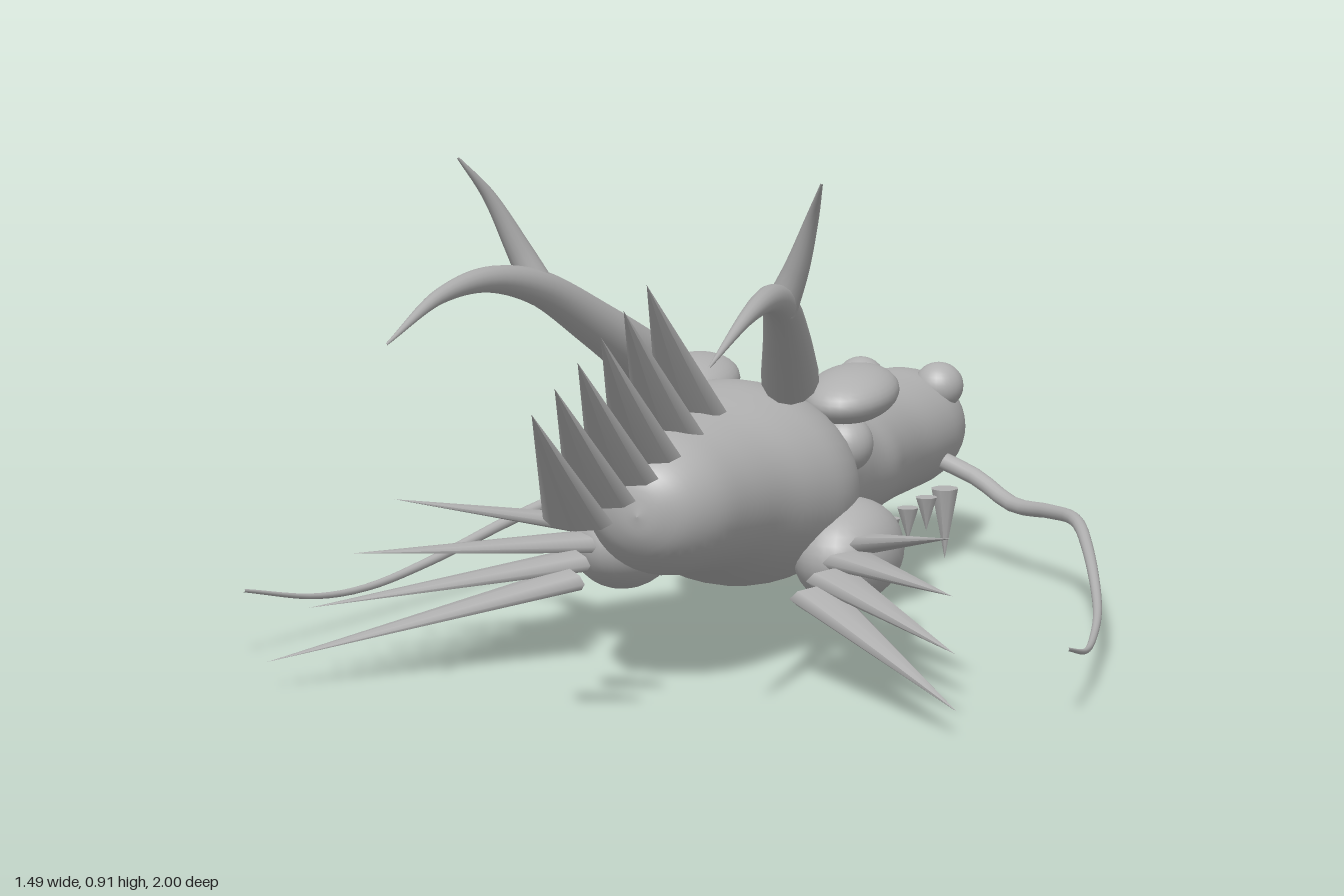
import * as THREE from 'three';

const grey = new THREE.MeshStandardMaterial({ color: 0xb0b0b0 });
grey.name = 'stone grey';
const V = (x, y, z) => new THREE.Vector3(x, y, z);

function add(parent, name, geometry) {
  const mesh = new THREE.Mesh(geometry, grey);
  mesh.name = name;
  parent.add(mesh);
  return mesh;
}

// Smooth head lofted from elliptical sections: [z, half width, top, bottom]
function headGeometry() {
  const rows = [
    [0.46, 0.001, 0.32, 0.318], [0.45, 0.045, 0.375, 0.275], [0.42, 0.09, 0.41, 0.235],
    [0.36, 0.125, 0.438, 0.2], [0.27, 0.145, 0.447, 0.182], [0.17, 0.168, 0.453, 0.163],
    [0.08, 0.2, 0.462, 0.135], [0, 0.22, 0.465, 0.11], [-0.08, 0.21, 0.45, 0.105],
    [-0.17, 0.17, 0.41, 0.11], [-0.27, 0.14, 0.385, 0.12], [-0.38, 0.128, 0.363, 0.122],
    [-0.45, 0.126, 0.34, 0.12], [-0.52, 0.125, 0.33, 0.119], [-0.6, 0.113, 0.325, 0.118],
    [-0.7, 0.107, 0.318, 0.117], [-0.8, 0.113, 0.317, 0.115], [-0.87, 0.114, 0.317, 0.114],
    [-0.93, 0.1, 0.305, 0.125], [-0.975, 0.068, 0.28, 0.15], [-0.994, 0.035, 0.25, 0.18],
    [-1, 0.001, 0.216, 0.214],
  ];
  const shape = new THREE.CatmullRomCurve3(rows.map(r => V(r[1], r[2], r[3])), false, 'catmullrom');
  const depth = new THREE.CatmullRomCurve3(rows.map(r => V(r[0], 0, 0)), false, 'catmullrom');
  const n = 84, m = 40, pos = [], index = [];
  for (let i = 0; i <= n; i++) {
    const s = shape.getPoint(i / n), z = depth.getPoint(i / n).x;
    for (let j = 0; j < m; j++) {
      const a = j / m * Math.PI * 2;
      pos.push(s.x * Math.cos(a), (s.y + s.z) / 2 + (s.y - s.z) / 2 * Math.sin(a), z);
      if (i === n) continue;
      const p = i * m + j, q = i * m + (j + 1) % m;
      index.push(p, p + m, q, q, p + m, q + m);
    }
  }
  const g = new THREE.BufferGeometry();
  g.setAttribute('position', new THREE.Float32BufferAttribute(pos, 3));
  g.setIndex(index);
  g.computeVertexNormals();
  return g;
}

// Tapering tube with a flat cap on its thick end
function horn(parent, name, points, r0, r1) {
  const path = new THREE.CatmullRomCurve3(points);
  const n = 40, m = 14;
  const g = new THREE.TubeGeometry(path, n, 1, m, false);
  const p = g.attributes.position, v = V(0, 0, 0);
  for (let i = 0; i <= n; i++) {
    const c = path.getPointAt(i / n), r = r0 + (r1 - r0) * i / n;
    for (let j = 0; j <= m; j++) {
      const k = i * (m + 1) + j;
      v.fromBufferAttribute(p, k).sub(c).multiplyScalar(r).add(c);
      p.setXYZ(k, v.x, v.y, v.z);
    }
  }
  add(parent, name, g);
  const cap = add(parent, name + 'Base', new THREE.CircleGeometry(r0, m));
  cap.position.copy(points[0]);
  cap.quaternion.setFromUnitVectors(V(0, 0, 1), path.getTangentAt(0).negate());
}

// Flattened spike from base to tip; wide lies along the given direction
function spike(parent, name, base, tip, wide, halfWidth, halfThick) {
  const dir = tip.clone().sub(base), len = dir.length();
  dir.normalize();
  const g = new THREE.ConeGeometry(1, 1, 8).translate(0, 0.5, 0).scale(halfWidth, len, halfThick);
  const x = wide.clone().addScaledVector(dir, -wide.dot(dir)).normalize();
  const z = x.clone().cross(dir);
  g.applyMatrix4(new THREE.Matrix4().makeBasis(x, dir, z).setPosition(base));
  add(parent, name, g);
}

function ball(parent, name, center, radii, tilt = 0) {
  const mesh = add(parent, name, new THREE.SphereGeometry(1, 28, 18));
  mesh.position.copy(center);
  mesh.scale.copy(radii);
  mesh.rotation.x = tilt;
}

export function createModel() {
  const model = new THREE.Group();
  model.name = 'hornedHead';
  add(model, 'head', headGeometry());

  // Row of spikes along the neck
  for (let i = 0; i < 6; i++) {
    const t = i / 5;
    spike(model, 'crestSpike', V(0, 0.45 - 0.08 * t, 0.18 + 0.58 * t),
      V(0, 0.71 - 0.11 * t, 0.41 + 0.587 * t), V(1, 0, 0), 0.063, 0.021);
  }

  for (const s of [1, -1]) {
    const side = new THREE.Group();
    side.name = s > 0 ? 'leftSide' : 'rightSide';
    model.add(side);
    const P = (x, y, z) => V(s * x, y, z);

    // Rounded face features
    ball(side, 'cheek', P(0.2, 0.175, -0.05), V(0.09, 0.09, 0.13));
    ball(side, 'brow', P(0.143, 0.408, -0.228), V(0.077, 0.045, 0.112), 0.08);
    ball(side, 'eye', P(0.145, 0.33, -0.185), V(0.05, 0.05, 0.05));
    ball(side, 'nostril', P(0.07, 0.29, -0.88), V(0.042, 0.04, 0.042));

    // Horn and its upright branch
    horn(side, 'horn', [P(0.12, 0.483, 0.02), P(0.17, 0.585, 0.18), P(0.215, 0.675, 0.34),
      P(0.25, 0.72, 0.5), P(0.275, 0.725, 0.68), P(0.29, 0.685, 0.915)], 0.05, 0.002);
    horn(side, 'hornBranch', [P(0.215, 0.67, 0.34), P(0.25, 0.745, 0.355),
      P(0.29, 0.84, 0.39), P(0.327, 0.915, 0.445)], 0.03, 0.002);

    // Long trailing whisker
    horn(side, 'whisker', [P(0.1, 0.175, -0.815), P(0.17, 0.155, -0.79), P(0.25, 0.125, -0.74),
      P(0.35, 0.135, -0.655), P(0.43, 0.145, -0.555), P(0.5, 0.125, -0.42), P(0.6, 0.075, -0.185),
      P(0.65, 0.06, -0.02), P(0.69, 0.07, 0.13), P(0.74, 0.122, 0.365)], 0.015, 0.003);

    // Fan of cheek spikes
    for (let i = 0; i < 4; i++) {
      const t = i / 3;
      spike(side, 'cheekSpike', P(0.25 - 0.03 * t, 0.2 - 0.06 * t, 0.17 * t),
        P(0.5 + 0.12 * t, 0.28 - 0.23 * t, 0.28 + 0.31 * t), P(1, 0, -0.8), 0.05, 0.018);
    }

    // Small teeth and the front fang
    for (let i = 0; i < 5; i++) {
      const z = -0.355 - 0.094 * i;
      spike(side, 'tooth', P(0.1, 0.128, z), P(0.1, 0.07, z), V(1, 0, 0), 0.019, 0.019);
    }
    spike(side, 'fang', P(0.1, 0.125, -0.825), P(0.1, 0.003, -0.825), V(1, 0, 0), 0.024, 0.024);
  }
  return model;
}
